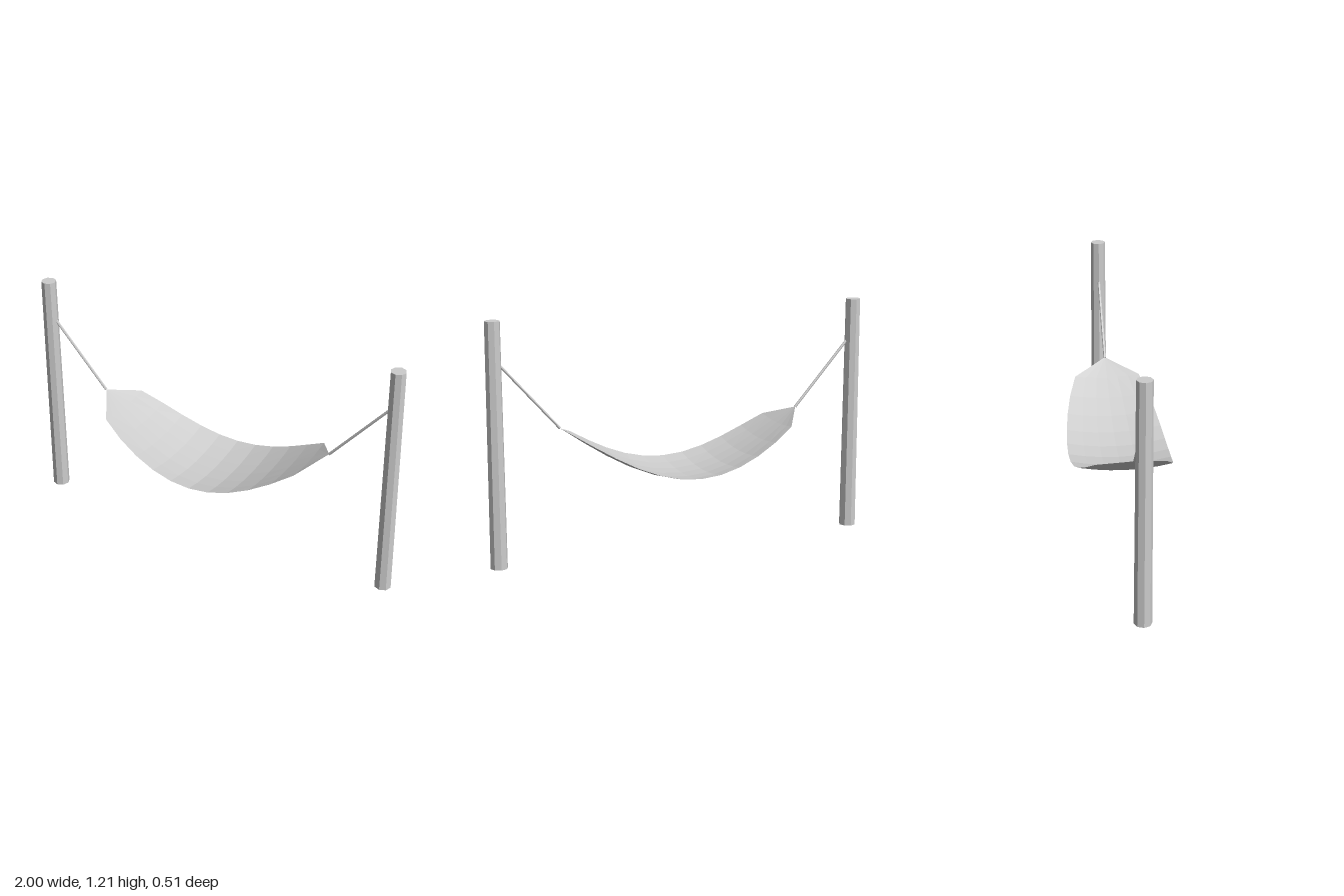
import * as THREE from 'three';

export function createModel() {
  const group = new THREE.Group();
  group.name = 'hammock';
  const grey = new THREE.MeshStandardMaterial({ color: 0xcccccc, flatShading: true });
  grey.name = 'light grey';
  const cloth = new THREE.MeshStandardMaterial({ color: 0xcccccc, flatShading: true, side: THREE.DoubleSide });
  cloth.name = 'light grey cloth';

  const add = (name, geometry, material) => {
    const mesh = new THREE.Mesh(geometry, material);
    mesh.name = name;
    group.add(mesh);
    return mesh;
  };

  // Tapered posts and the ropes tied to them
  const up = new THREE.Vector3(0, 1, 0);
  for (const [side, s] of [['left', 1], ['right', -1]]) {
    add(side + 'Post', new THREE.CylinderGeometry(0.038, 0.043, 1.21, 8), grey)
      .position.set(0.957 * s, 0.605, 0);

    const a = new THREE.Vector3(0.635 * s, 0.667, 0);
    const b = new THREE.Vector3(0.93 * s, 1.0, 0);
    const rope = add(side + 'Rope', new THREE.CylinderGeometry(0.007, 0.007, a.distanceTo(b), 6), grey);
    rope.position.copy(a).lerp(b, 0.5);
    rope.quaternion.setFromUnitVectors(up, b.clone().sub(a).normalize());
  }

  // Sagging sling: gathered to a point at each end, edges lifted
  const sling = new THREE.PlaneGeometry(1.27, 2, 12, 6);
  const p = sling.attributes.position;
  for (let i = 0; i < p.count; i++) {
    const x = p.getX(i), v = -p.getY(i);
    const arch = Math.max(0, Math.sin(Math.PI * (x / 1.27 + 0.5)));
    const spread = arch < 1e-6 ? 0 : Math.pow(arch, 0.3);
    const lift = 0.03 * (v * spread) ** 2;
    p.setXYZ(i, x, 0.667 - 0.287 * arch + lift, 0.255 * v * spread);
  }
  sling.computeVertexNormals();
  add('sling', sling, cloth);

  return group;
}
